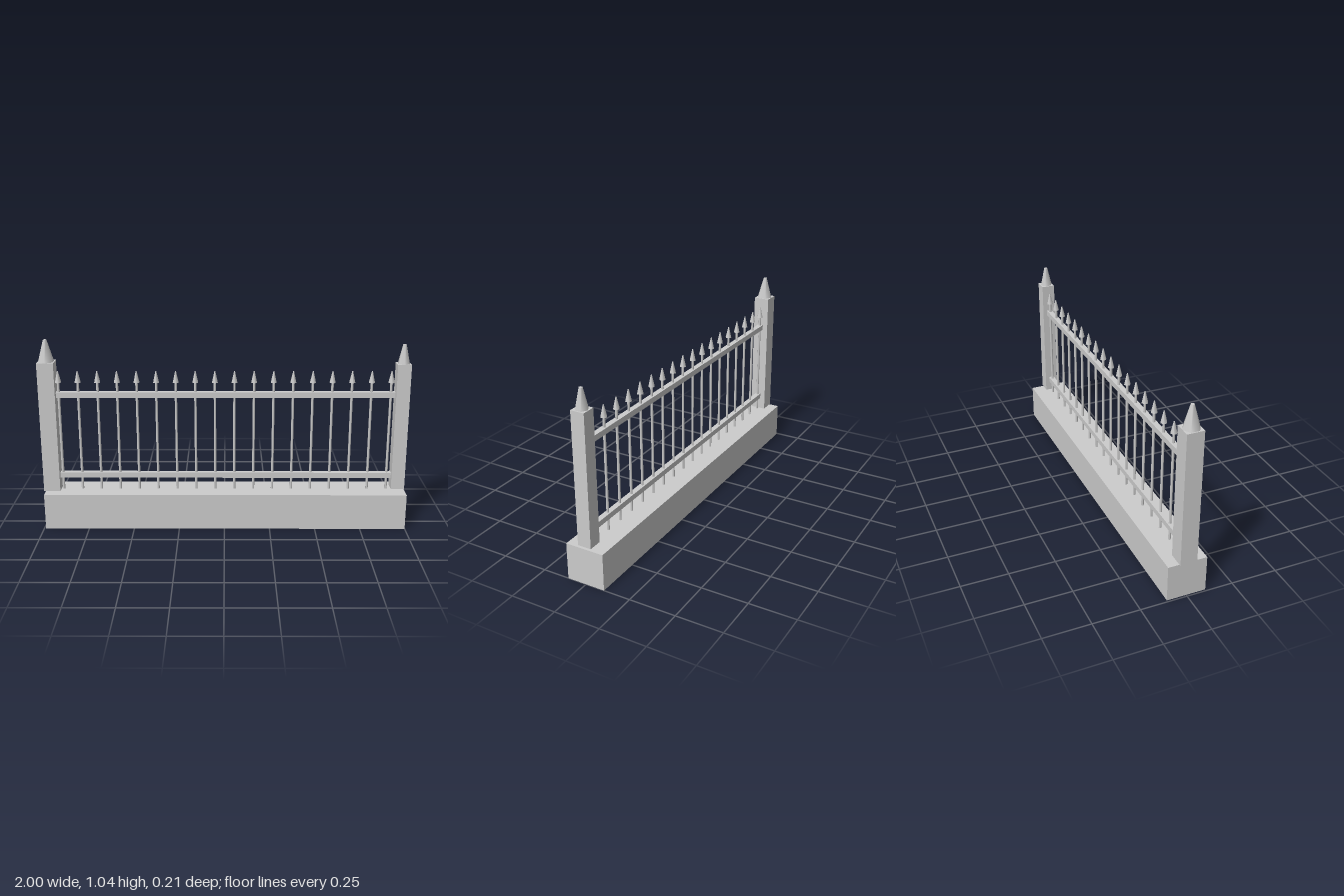
import * as THREE from 'three';

const stone = new THREE.MeshStandardMaterial({ color: 0xcccccc });
stone.name = 'lightGrey';

export function createModel() {
  const group = new THREE.Group();
  group.name = 'fencePanel';

  const add = (name, geometry, x, y, parent = group) => {
    const mesh = new THREE.Mesh(geometry, stone);
    mesh.name = name;
    mesh.position.set(x, y, 0);
    parent.add(mesh);
    return mesh;
  };
  // Box between two heights
  const block = (name, x0, x1, y0, y1, depth, parent) =>
    add(name, new THREE.BoxGeometry(x1 - x0, y1 - y0, depth), (x0 + x1) / 2, (y0 + y1) / 2, parent);
  // Six-sided tapered shaft between two heights
  const taper = (name, x, y0, y1, rBottom, rTop, parent) =>
    add(name, new THREE.CylinderGeometry(rTop, rBottom, y1 - y0, 6), x, (y0 + y1) / 2, parent);

  // Plinth
  block('base', -0.99, 1.0, 0, 0.2, 0.21);

  // End posts with pointed caps
  const post = (name, x0, x1, y0, y1, tip, r) => {
    const g = new THREE.Group();
    g.name = name;
    group.add(g);
    block('postShaft', x0, x1, y0, y1, x1 - x0, g);
    taper('postCap', (x0 + x1) / 2, y1, tip, r, 0.01, g);
  };
  post('rightPost', -1.0, -0.91, 0.2, 0.925, 1.045, 0.045);
  post('leftPost', 0.923, 0.997, 0.21, 0.915, 1.02, 0.034);

  // Horizontal rails
  block('lowerRail', -0.91, 0.923, 0.268, 0.298, 0.03);
  block('upperRail', -0.91, 0.923, 0.728, 0.758, 0.03);

  // Pickets with spear heads
  const count = 18;
  for (let i = 0; i < count; i++) {
    const x = -0.897 + (i * 1.797) / (count - 1);
    const picket = new THREE.Group();
    picket.name = 'picket';
    group.add(picket);
    taper('picketBar', x, 0.2, 0.815, 0.0075, 0.0075, picket);
    taper('spearHead', x, 0.81, 0.873, 0.018, 0.003, picket);
  }
  return group;
}
